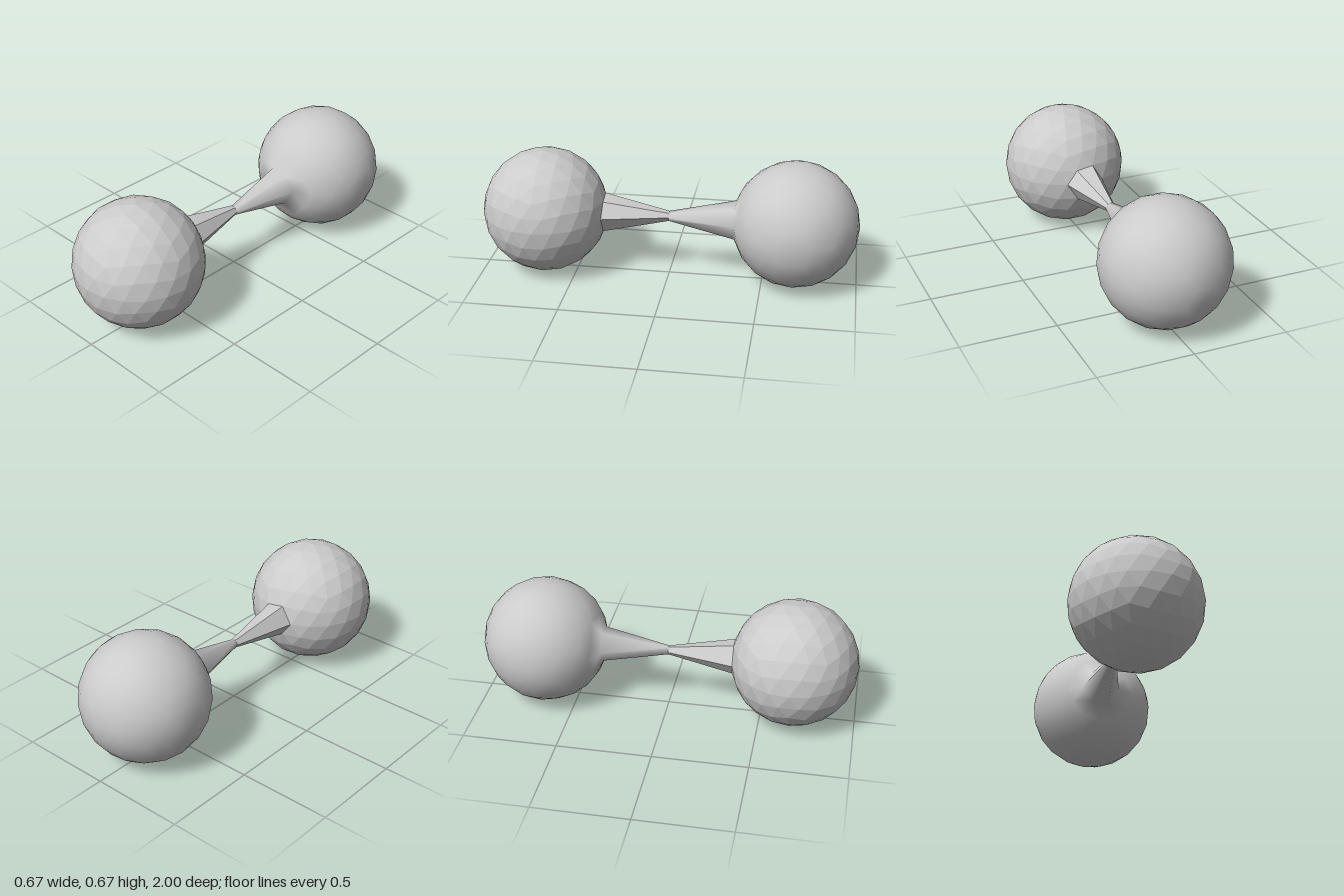
import * as THREE from 'three';
import { mergeVertices } from 'three/addons/utils/BufferGeometryUtils.js';

const R = 1 / 3;          // ball radius
const CENTRE_Z = 2 / 3;   // ball distance from the waist
const WAIST = 0.26;       // waist size relative to the neck's root

// Triangles of a unit icosphere standing on a pole, as [a, b, c] vectors
function icosphere(levels) {
  const ring = (k, offset, y) => {
    const a = THREE.MathUtils.degToRad(72 * k + offset);
    const r = 2 / Math.sqrt(5);
    return new THREE.Vector3(r * Math.cos(a), y, -r * Math.sin(a));
  };
  const h = 1 / Math.sqrt(5);
  const top = new THREE.Vector3(0, 1, 0);
  const bottom = new THREE.Vector3(0, -1, 0);
  let tris = [];
  for (let k = 0; k < 5; k++) {
    const u0 = ring(k, 0, h), u1 = ring(k + 1, 0, h);
    const l0 = ring(k, 36, -h), l1 = ring(k + 1, 36, -h);
    tris.push([top, u0, u1], [u0, l0, u1], [l0, l1, u1], [bottom, l1, l0]);
  }
  const mid = (p, q) => p.clone().add(q).normalize();
  for (let i = 0; i < levels; i++) {
    tris = tris.flatMap(([a, b, c]) => {
      const ab = mid(a, b), bc = mid(b, c), ca = mid(c, a);
      return [[a, ab, ca], [ab, b, bc], [ca, bc, c], [ab, bc, ca]];
    });
  }
  return tris;
}

// A ball whose six innermost triangles are drawn out into a tapering neck
function ballWithNeck() {
  const inner = new THREE.Vector3(0, 0, -1);
  const place = (v) => new THREE.Vector3(v.x * R, v.y * R + R, v.z * R + CENTRE_Z);
  const waist = (v) => new THREE.Vector3(v.x * R * WAIST, v.y * R * WAIST + R, 0);
  const tris = [];
  for (const tri of icosphere(2)) {
    const i = tri.findIndex((v) => v.distanceTo(inner) < 1e-4);
    if (i < 0) {
      tris.push(tri.map(place));
    } else {
      const a = tri[(i + 1) % 3], b = tri[(i + 2) % 3];
      tris.push([place(a), place(b), waist(b)], [place(a), waist(b), waist(a)]);
    }
  }
  return tris;
}

function toGeometry(tris) {
  return new THREE.BufferGeometry().setFromPoints(tris.flat());
}

export function createModel() {
  const group = new THREE.Group();
  group.name = 'dumbbell';
  const tris = ballWithNeck();

  // Front half: faceted
  const frontGeometry = toGeometry(tris);
  frontGeometry.computeVertexNormals();
  const front = new THREE.Mesh(
    frontGeometry,
    new THREE.MeshStandardMaterial({ color: 0xcccccc, flatShading: true, side: THREE.DoubleSide })
  );
  front.name = 'facetedFrontHalf';

  // Back half: mirrored copy with smooth normals
  const mirrored = tris.map(([a, b, c]) =>
    [a, c, b].map((v) => new THREE.Vector3(v.x, v.y, -v.z)));
  const backGeometry = mergeVertices(toGeometry(mirrored), 1e-4);
  backGeometry.computeVertexNormals();
  const back = new THREE.Mesh(
    backGeometry,
    new THREE.MeshStandardMaterial({ color: 0xcccccc, side: THREE.DoubleSide })
  );
  back.name = 'smoothBackHalf';

  group.add(front, back);
  return group;
}
